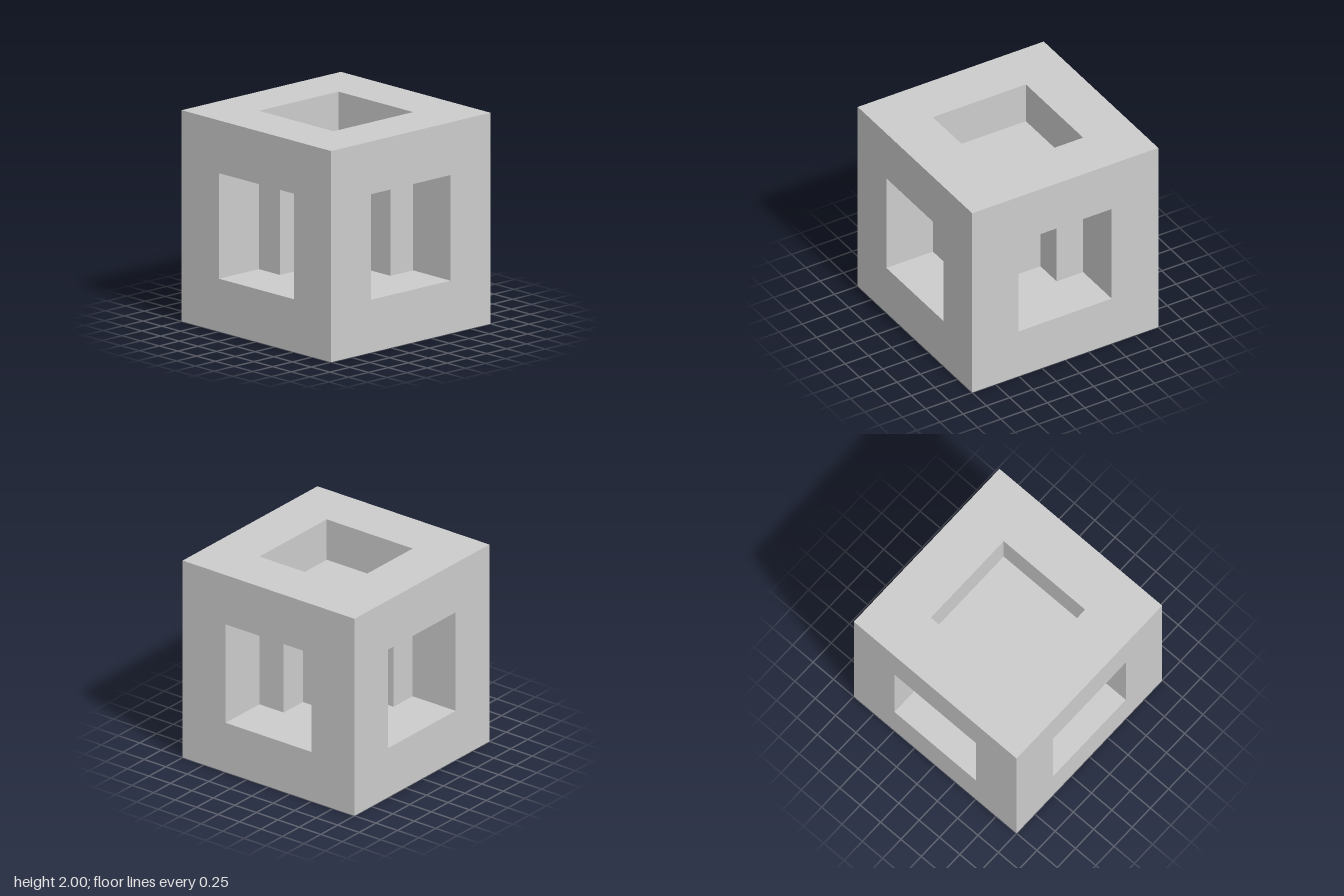
import * as THREE from 'three';

export function createModel() {
  const model = new THREE.Group();
  model.name = 'hollowCube';
  const grey = new THREE.MeshStandardMaterial({ color: 0xcccccc });
  grey.name = 'grey';

  const HALF = 1;        // outer half width
  const OPEN = 0.5;      // half width of the openings
  const CORE = 0.216;    // half width of the core and inner channels
  const LOW = 0.5, HIGH = 1.5, TOP = 2;
  const POCKET = 1.59;   // floor of the top recess

  // Square block centred on (x, z), between two heights
  function block(name, width, y0, y1, x = 0, z = 0) {
    const mesh = new THREE.Mesh(new THREE.BoxGeometry(width, y1 - y0, width), grey);
    mesh.position.set(x, (y0 + y1) / 2, z);
    mesh.name = name;
    model.add(mesh);
  }

  function square(PathType, h) {
    return new PathType([[-h, -h], [h, -h], [h, h], [-h, h]].map(([x, y]) => new THREE.Vector2(x, y)));
  }

  // Solid base and the middle core that closes the side recesses
  block('base', 2 * HALF, 0, LOW);
  block('core', 2 * CORE, LOW, HIGH);

  // Outer corner posts and the inner posts that step the recesses
  for (const sx of [-1, 1]) {
    for (const sz of [-1, 1]) {
      const outer = (HALF + OPEN) / 2, inner = (OPEN + CORE) / 2;
      block('cornerPost', HALF - OPEN, LOW, HIGH, sx * outer, sz * outer);
      block('innerPost', OPEN - CORE, LOW, HIGH, sx * inner, sz * inner);
    }
  }

  // Top frame around the square recess
  const ring = square(THREE.Shape, HALF);
  ring.holes.push(square(THREE.Path, OPEN));
  const frameGeometry = new THREE.ExtrudeGeometry(ring, { depth: TOP - HIGH, bevelEnabled: false });
  frameGeometry.rotateX(-Math.PI / 2);
  const frame = new THREE.Mesh(frameGeometry, grey);
  frame.position.y = HIGH;
  frame.name = 'topFrame';
  model.add(frame);

  // Floor of the top recess
  block('recessFloor', 2 * OPEN, HIGH, POCKET);

  return model;
}
